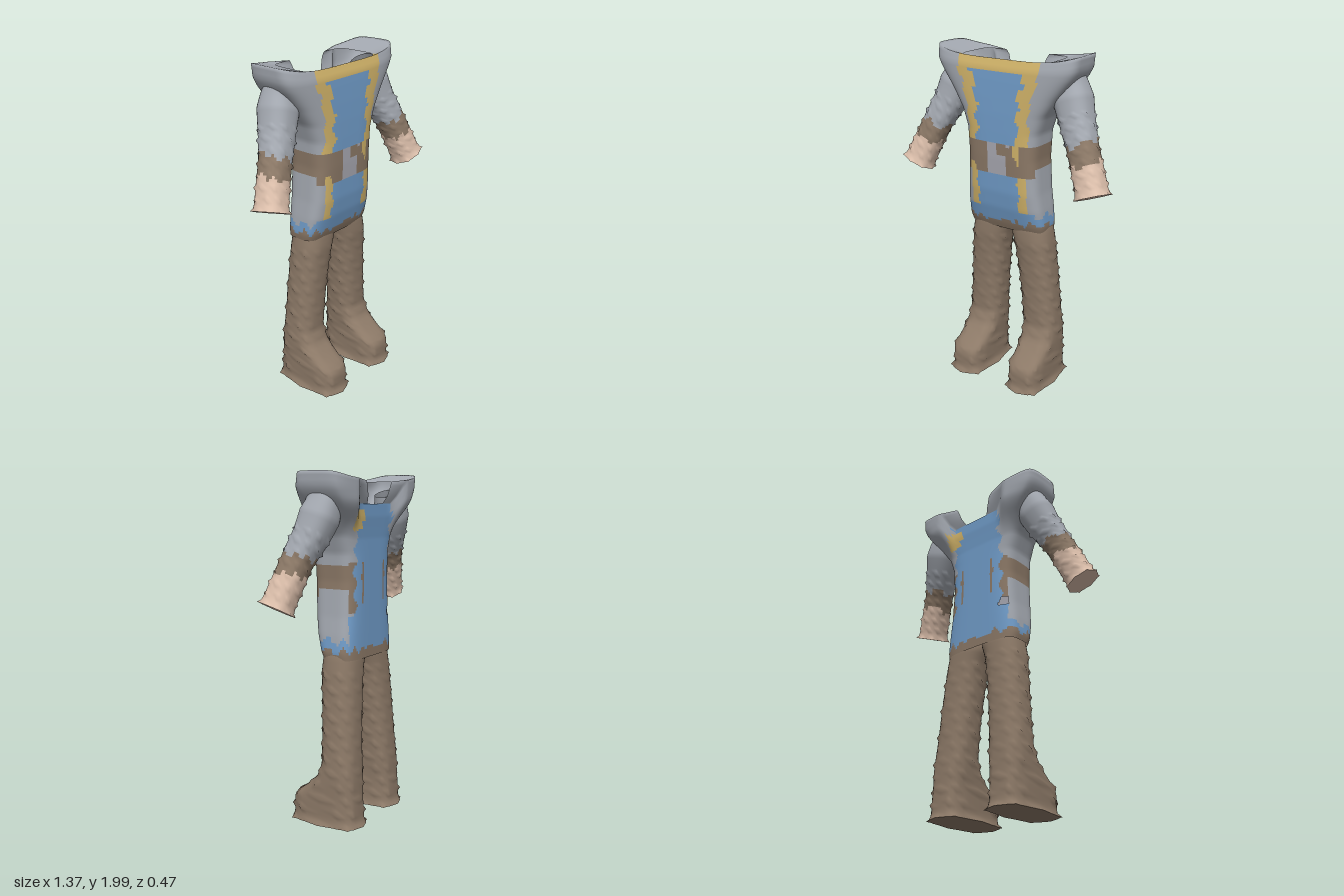
import * as THREE from 'three';

const { smoothstep, lerp } = THREE.MathUtils;

// Colours: indices are used by the paint rules
const GREY = 0, BLUE = 1, YELLOW = 2, BROWN = 3, SKIN = 4, PALE = 5, NONE = -1;
function makeMaterials() {
  return [['greyCloth', 0xa4a9b1], ['blueCloth', 0x719dca], ['yellowTrim', 0xd2b46a],
    ['brownHide', 0x8c7967], ['skin', 0xdcbfab], ['paleCloth', 0xa9a9b2]].map(([name, color]) => {
    const m = new THREE.MeshStandardMaterial({ color, side: THREE.DoubleSide });
    m.name = name;
    return m;
  });
}

// Zigzag between 0 and 1, for ragged borders
const zig = t => Math.abs((((t % 1) + 1) % 1) * 2 - 1);
const power = (v, e) => Math.sign(v) * Math.abs(v) ** e;

// Linear reading of a key table by its first column
function sample(keys, t) {
  let k = 1;
  while (k < keys.length - 1 && keys[k][0] < t) k++;
  const a = keys[k - 1], b = keys[k], f = (t - a[0]) / (b[0] - a[0]);
  return a.map((v, i) => lerp(v, b[i], f));
}

// Small tufts that prick out of the furry surfaces
const tuft = (i, j) => (j % 4 === 0 && (i + (j % 8) / 2) % 4 === 0 ? 1.12 : 1);

// Skin over stacked rings, each face coloured by the paint rule
function loft(name, rings, paint, mats, capBottom) {
  const n = rings[0].length, pts = rings.flat(), buckets = mats.map(() => []);
  const add = (...ids) => {
    const c = new THREE.Vector3();
    ids.forEach(i => c.addScaledVector(pts[i], 1 / ids.length));
    const m = paint(c.x, c.y, c.z);
    if (m === NONE) return;
    for (let k = 2; k < ids.length; k++) buckets[m].push(ids[0], ids[k - 1], ids[k]);
  };
  for (let j = 0; j < rings.length - 1; j++) {
    for (let i = 0; i < n; i++) {
      const a = j * n + i, d = j * n + (i + 1) % n;
      add(a, a + n, d + n, d);
    }
  }
  if (capBottom) {
    const base = pts.length, mid = new THREE.Vector3();
    rings[0].forEach(p => mid.addScaledVector(p, 1 / n));
    pts.push(...rings[0].map(p => p.clone()), mid);
    for (let i = 0; i < n; i++) add(base + n, base + i, base + (i + 1) % n);
  }
  const geo = new THREE.BufferGeometry().setFromPoints(pts);
  let start = 0;
  buckets.forEach((b, m) => {
    if (b.length) geo.addGroup(start, b.length, m);
    start += b.length;
  });
  geo.setIndex(buckets.flat());
  geo.computeVertexNormals();
  const mesh = new THREE.Mesh(geo, mats);
  mesh.name = name;
  return mesh;
}

// Tunic colours: bib, side strips, belt, ragged hem and back panel
function paintTorso(x, y, z) {
  const ax = Math.abs(x), rag = 0.035 * zig(y * 8 + (x > 0 ? 0.4 : 0));
  if (ax < 0.032 && y > 1.07 && y < 1.105) return NONE;
  const hem = 0.99 + 0.05 * zig(x * 12 + z * 9);
  if (y < hem) return BROWN;
  if (y < hem + 0.05) return BLUE;
  if (z > 0.075) {
    if (y > 1.88) return ax < 0.265 ? YELLOW : GREY;
    if (y > 1.48) {
      if (ax < 0.115 + rag + Math.max(0, y - 1.7) * 0.2) return BLUE;
      return ax < 0.19 + rag * 0.5 + Math.max(0, y - 1.68) * 0.3 ? YELLOW : GREY;
    }
    if (y > 1.31) {
      if (Math.abs(x - 0.07 - (1.4 - y) * 0.4) < 0.03) return BROWN;
      if (x > 0.1 && x < 0.145 && y > 1.36 + (0.145 - x) * 2) return YELLOW;
      if (x < -0.15 && x > -0.19 && y < 1.35) return YELLOW;
      return x > -0.055 && x < 0.09 ? PALE : BROWN;
    }
    if (y < 1.09 || ax < 0.125 + rag * 0.6) return BLUE;
    return ax < 0.185 ? YELLOW : GREY;
  }
  if (z < -0.115 && y < 1.84 && ax < 0.22) {
    if (x > 0.12 && y > 1.68 && y < 1.79) return YELLOW;
    if (y > 1.26 && y < 1.5 && zig(x * 9) > 0.72 + Math.abs(y - 1.42) * 1.6) return BROWN;
    if (ax < 0.16 + rag) return BLUE;
    if (x < 0 && y > 1.18 && y < 1.23) return NONE;
    return y > 1.22 && y < 1.5 ? BROWN : y < 1.2 ? BLUE : GREY;
  }
  return y > 1.33 + rag && y < 1.48 ? BROWN : GREY;
}

function makeTorso(mats) {
  // height, half width, front z, back z
  const keys = [[0.96, 0.25, 0.062, -0.15], [1.0, 0.257, 0.078, -0.15], [1.1, 0.25, 0.105, -0.15],
    [1.2, 0.238, 0.12, -0.15], [1.4, 0.226, 0.13, -0.15], [1.55, 0.235, 0.132, -0.15],
    [1.65, 0.27, 0.132, -0.15], [1.75, 0.335, 0.13, -0.155], [1.84, 0.405, 0.127, -0.16],
    [1.9, 0.45, 0.124, -0.16], [1.95, 0.455, 0.108, -0.16]];
  const seg = 96, rows = 60, e = 0.48, rings = [];
  for (let j = 0; j <= rows; j++) {
    const [y0, w, zf, zb] = sample(keys, lerp(0.96, 1.95, j / rows));
    rings.push(Array.from({ length: seg }, (_, i) => {
      const a = i / seg * Math.PI * 2, x = w * power(Math.cos(a), e);
      let y = y0, z = (zf + zb) / 2 + (zf - zb) / 2 * power(Math.sin(a), e);
      // Shoulders bulge backwards, the back panel between them ends lower
      const back = 1 - smoothstep(z, -0.12, -0.04), side = smoothstep(Math.abs(x), 0.17, 0.27);
      z -= 0.062 * back * side * smoothstep(y, 1.65, 1.85);
      if (y0 > 1.6) y -= (y0 - 1.6) / 0.35 * 0.13 * back * (1 - side);
      y += 0.04 * (x / 0.455) ** 4 * smoothstep(y0, 1.86, 1.95);
      return new THREE.Vector3(x, y, z);
    }));
  }
  // Top of the shoulders, running in to the neck slot at the rear
  const rim = rings[rows];
  const slot = rim.map((p, i) => {
    const a = i / seg * Math.PI * 2;
    return new THREE.Vector3(0.28 * power(Math.cos(a), 0.6), Math.min(p.y, 1.945),
      Math.max(-0.145 + 0.04 * power(Math.sin(a), 0.6), p.z + 0.003));
  });
  for (let k = 1; k <= 8; k++) rings.push(rim.map((p, i) => p.clone().lerp(slot[i], k / 8)));
  return loft('tunic', rings, paintTorso, mats, false);
}

function makeLeg(s, mats) {
  // height, inner x, outer x, back z, front z
  const keys = [[0, 0.09, 0.322, -0.205, 0.238], [0.03, 0.1, 0.312, -0.192, 0.226],
    [0.13, 0.1, 0.312, -0.187, 0.226], [0.16, 0.1, 0.31, -0.185, 0.205],
    [0.21, 0.098, 0.31, -0.182, 0.135], [0.27, 0.093, 0.31, -0.18, 0.07],
    [0.35, 0.088, 0.306, -0.175, 0.04], [0.6, 0.068, 0.288, -0.163, 0.048],
    [0.8, 0.045, 0.272, -0.153, 0.06], [0.9, 0.025, 0.263, -0.148, 0.068],
    [0.97, 0, 0.252, -0.145, 0.065], [1.03, 0, 0.235, -0.13, 0.055]];
  const seg = 32, rows = 52, rings = [];
  for (let j = 0; j <= rows; j++) {
    const [y, x0, x1, z0, z1] = sample(keys, j / rows * 1.03);
    const e = lerp(0.55, 0.8, smoothstep(y, 0.1, 0.5));
    rings.push(Array.from({ length: seg }, (_, i) => {
      const a = i / seg * Math.PI * 2, r = y < 0.95 ? tuft(i, j) : 1;
      return new THREE.Vector3(s * (x0 + x1) / 2 + 0.008 + r * (x1 - x0) / 2 * power(Math.cos(a), e),
        y, (z0 + z1) / 2 + (1 + (r - 1) / 2) * (z1 - z0) / 2 * power(Math.sin(a), e));
    }));
  }
  return loft(s > 0 ? 'leftLeg' : 'rightLeg', rings, () => BROWN, mats, true);
}

function makeArm(s, mats) {
  // Path from the hand up into the shoulder
  const path = new THREE.CatmullRomCurve3([[0.592, 1.275, 0.092], [0.54, 1.4, 0.06],
    [0.478, 1.54, 0.025], [0.415, 1.67, -0.02], [0.365, 1.8, -0.05], [0.34, 1.88, -0.05]]
    .map(([x, y, z]) => new THREE.Vector3(s * x, y, z)));
  const radius = [[0, 0.092], [0.06, 0.084], [0.4, 0.082], [0.6, 0.092], [0.8, 0.105], [1, 0.08]];
  const seg = 32, rows = 44, rings = [];
  for (let j = 0; j <= rows; j++) {
    const t = j / rows, c = path.getPointAt(t), T = path.getTangentAt(t), r = sample(radius, t)[1];
    const U = new THREE.Vector3(T.y, -T.x, 0).normalize(), V = new THREE.Vector3().crossVectors(U, T);
    rings.push(Array.from({ length: seg }, (_, i) => {
      const a = i / seg * Math.PI * 2, q = r * (t < 0.7 ? tuft(i, j) : 1);
      return c.clone().addScaledVector(U, q * power(Math.cos(a), 0.8))
        .addScaledVector(V, q * power(Math.sin(a), 0.8));
    }));
  }
  // Skin, then a ragged brown cuff, then the grey sleeve
  const paint = (x, y, z) => {
    const up = y - 0.4 * (Math.abs(x) - 0.5), rag = 0.04 * zig(x * 11 + z * 13);
    return up < 1.41 + rag ? SKIN : up < 1.525 + rag ? BROWN : GREY;
  };
  return loft(s > 0 ? 'leftArm' : 'rightArm', rings, paint, mats, true);
}

export function createModel() {
  const group = new THREE.Group(), mats = makeMaterials();
  group.name = 'costumeFigure';
  group.add(makeTorso(mats));
  for (const s of [1, -1]) group.add(makeLeg(s, mats), makeArm(s, mats));
  return group;
}
